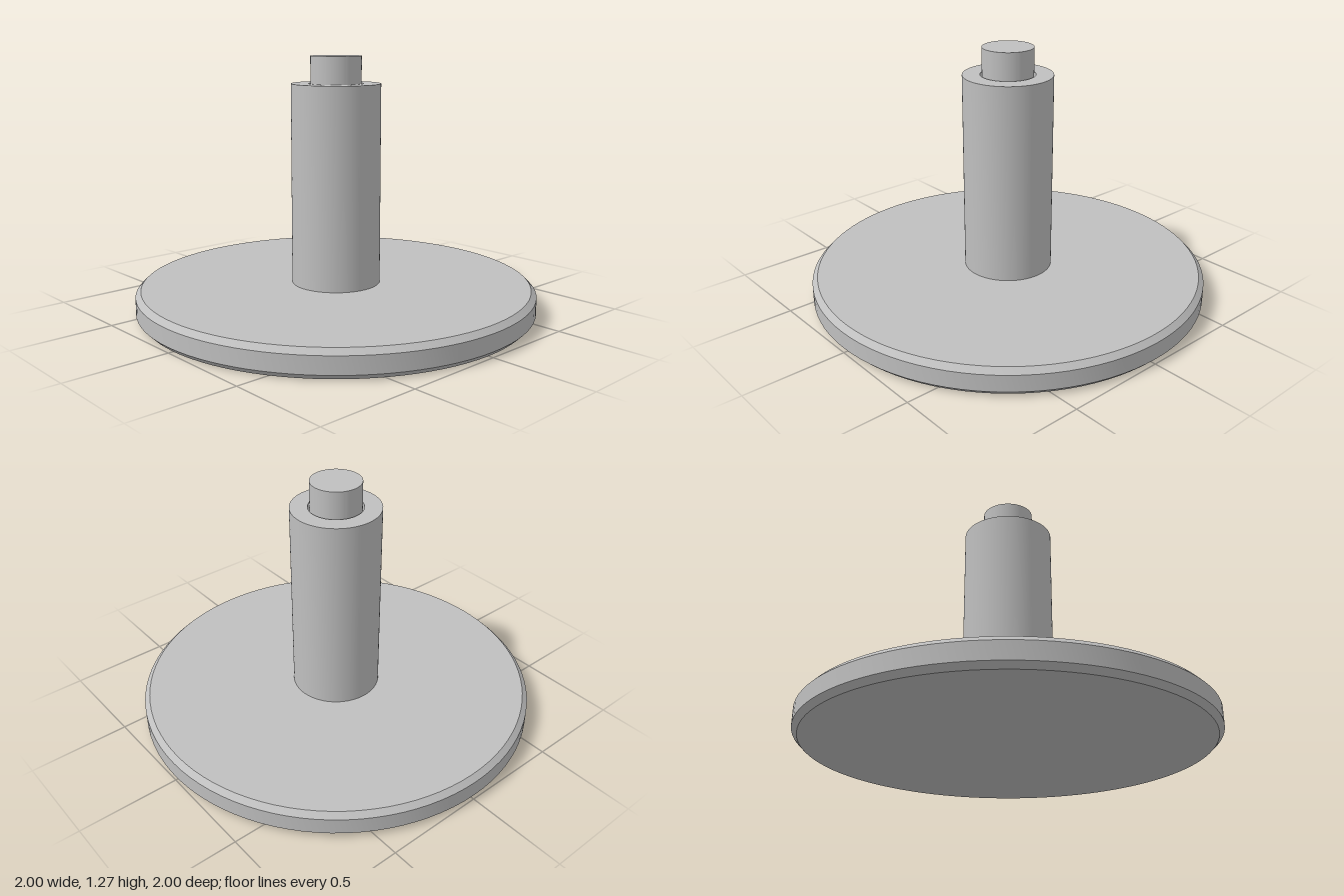
import * as THREE from 'three';
import { toCreasedNormals } from 'three/addons/utils/BufferGeometryUtils.js';

const SEGMENTS = 96;

export function createModel() {
  const model = new THREE.Group();
  model.name = 'discFoot';
  const metal = new THREE.MeshStandardMaterial({ color: 0xbfbfbf });
  metal.name = 'grey metal';

  // Turns a profile of [radius, height] points, keeping its corners sharp
  const turned = (name, profile) => {
    const points = profile.map(([r, y]) => new THREE.Vector2(r, y));
    const geometry = toCreasedNormals(new THREE.LatheGeometry(points, SEGMENTS), 0.5);
    const mesh = new THREE.Mesh(geometry, metal);
    mesh.name = name;
    model.add(mesh);
  };

  const baseTop = 0.135, chamfer = 0.026;
  const sleeveTop = 1.135, pinTop = 1.27;

  // Round base plate with chamfered rims
  turned('basePlate', [
    [0, 0], [1 - chamfer, 0], [1, chamfer],
    [1, baseTop - chamfer], [1 - chamfer, baseTop], [0, baseTop],
  ]);

  // Hollow sleeve: outer wall, top ring, bore
  turned('sleeve', [
    [0.222, baseTop], [0.222, sleeveTop], [0.135, sleeveTop], [0.135, baseTop],
  ]);

  // Pin standing in the bore with a small clearance
  turned('pin', [[0.126, baseTop], [0.126, pinTop], [0, pinTop]]);

  return model;
}
